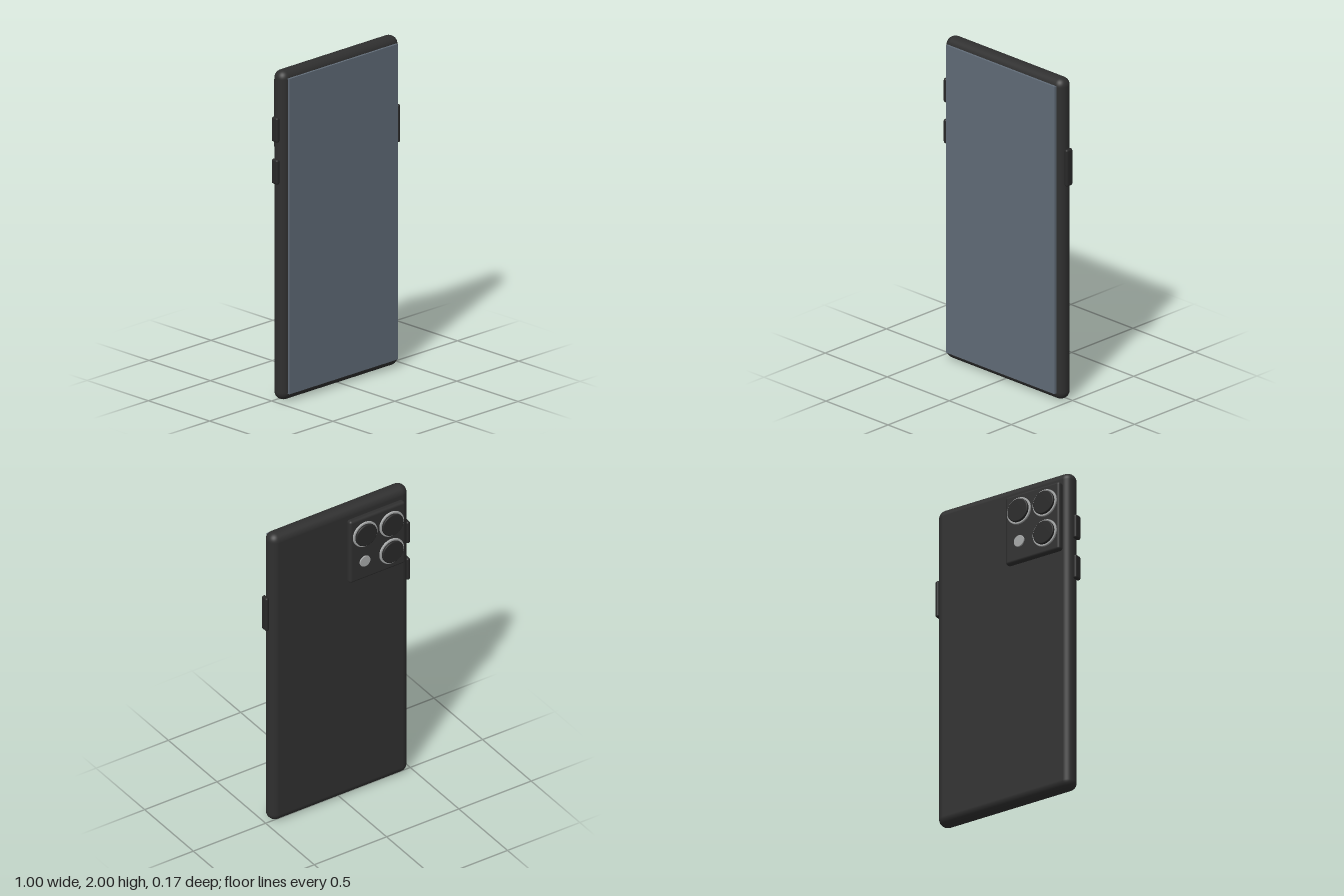
import * as THREE from 'three';
import { RoundedBoxGeometry } from 'three/addons/geometries/RoundedBoxGeometry.js';

const material = (name, color) => {
  const m = new THREE.MeshStandardMaterial({ color });
  m.name = name;
  return m;
};

export function createModel() {
  const phone = new THREE.Group();
  phone.name = 'phone';
  const shell = material('shell black', 0x2f2f2f);
  const dark = material('button black', 0x282828);
  const glass = material('screen blue grey', 0x606b77);
  const metal = material('ring silver', 0xa6a8a8);

  const add = (name, geometry, mat, x, y, z) => {
    const mesh = new THREE.Mesh(geometry, mat);
    mesh.name = name;
    mesh.position.set(x, y, z);
    phone.add(mesh);
    return mesh;
  };
  const roundedBox = (w, h, d, r) => new RoundedBoxGeometry(w, h, d, 5, r);

  // Body and screen
  add('body', roundedBox(0.95, 2, 0.102, 0.0495), shell, 0, 1, 0.019);
  add('screen', new THREE.BoxGeometry(0.874, 1.915, 0.02), glass, 0, 1.0025, 0.073);

  // Side buttons: power on the left, two volume keys on the right
  const button = (name, side, y, h) =>
    add(name, roundedBox(0.025, h, 0.05, 0.0115), dark, side * 0.4875, y, 0.02);
  button('powerButton', 1, 1.455, 0.23);
  button('volumeUpButton', -1, 1.65, 0.15);
  button('volumeDownButton', -1, 1.395, 0.15);

  // Camera island on the back
  add('cameraIsland', roundedBox(0.384, 0.43, 0.042, 0.016), shell, -0.233, 1.715, -0.044);

  // Turned discs with softened rims, axis pointing backwards
  const disc = (name, mat, r, depth, bevel, x, y, z) => {
    const points = [new THREE.Vector2(r, 0), new THREE.Vector2(r, depth - bevel)];
    for (let i = 1; i <= 4; i++) {
      const a = (i / 4) * Math.PI / 2;
      points.push(new THREE.Vector2(r - bevel + bevel * Math.cos(a), depth - bevel + bevel * Math.sin(a)));
    }
    points.push(new THREE.Vector2(0, depth));
    add(name, new THREE.LatheGeometry(points, 48), mat, x, y, z).rotation.x = -Math.PI / 2;
  };
  const near = -0.142, far = -0.325, high = 1.815, low = 1.625;
  [[near, high], [far, high], [far, low]].forEach(([x, y], i) => {
    disc(`lensRing${i + 1}`, metal, 0.083, 0.013, 0.003, x, y, -0.062);
    disc(`lens${i + 1}`, dark, 0.072, 0.018, 0.006, x, y, -0.07);
  });
  disc('flash', metal, 0.036, 0.01, 0.003, near, low, -0.062);

  return phone;
}
